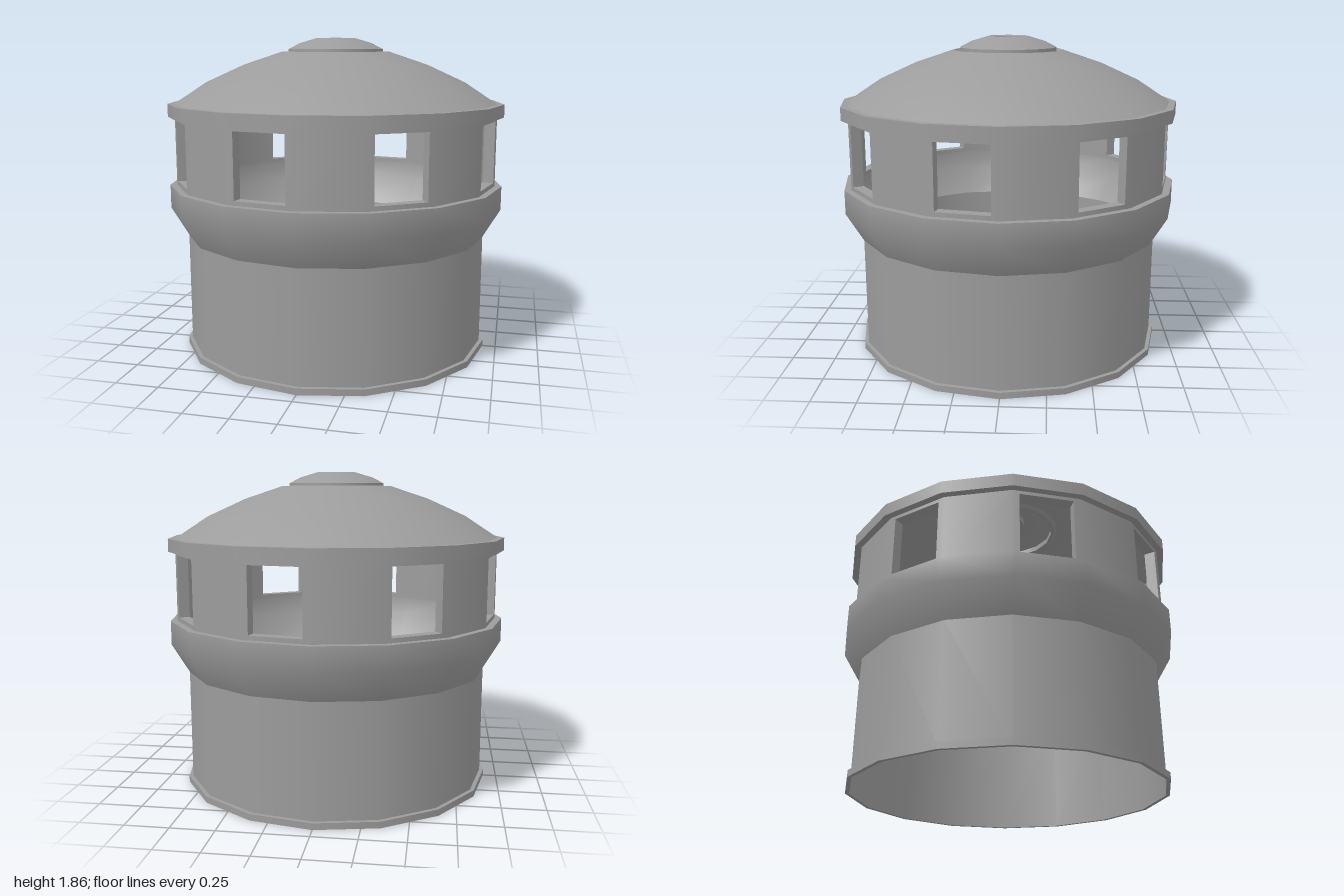
import * as THREE from 'three';

const SIDES = 16;
const STEP = (Math.PI * 2) / SIDES;

export function createModel() {
  const group = new THREE.Group();
  const material = new THREE.MeshStandardMaterial({ color: 0x9c9c9c, side: THREE.DoubleSide });

  // Each run of [radius, height] points is smooth; edges between runs stay sharp.
  function turned(name, ...runs) {
    const part = new THREE.Group();
    part.name = name;
    for (const run of runs) {
      const points = run.map(([r, y]) => new THREE.Vector2(r, y));
      part.add(new THREE.Mesh(new THREE.LatheGeometry(points, SIDES), material));
    }
    group.add(part);
  }

  // Open tube with a thin foot ring
  turned('footRing',
    [[0.9, 0], [0.923, 0]],
    [[0.923, 0], [0.923, 0.037]],
    [[0.923, 0.037], [0.9, 0.037]]);
  turned('lowerTube', [[0.9, 0], [0.9, 0.685]]);

  // Flared collar with a ledge under the windows
  turned('flaredCollar',
    [[0.9, 0.685], [1, 0.855], [1, 0.995]],
    [[1, 0.995], [0.896, 0.995]]);

  // Window drum: flat panels, every second one with an opening
  const radius = 0.96, depth = 0.063, y0 = 0.995, y1 = 1.4;
  const half = radius * Math.sin(STEP / 2);
  const apothem = radius * Math.cos(STEP / 2);

  function panel(open) {
    const shape = new THREE.Shape();
    shape.moveTo(-half, y0).lineTo(half, y0).lineTo(half, y1).lineTo(-half, y1).closePath();
    if (open) {
      const w = 0.15;
      const hole = new THREE.Path();
      hole.moveTo(-w, 1.02).lineTo(-w, 1.38).lineTo(w, 1.38).lineTo(w, 1.02).closePath();
      shape.holes.push(hole);
    }
    const geometry = new THREE.ExtrudeGeometry(shape, { depth, bevelEnabled: false });
    geometry.translate(0, 0, apothem - depth);
    const p = geometry.attributes.position, n = geometry.attributes.normal;
    for (let i = 0; i < p.count; i++) {
      // Mitre the panel ends and round the shading of the two wall faces
      if (Math.abs(p.getX(i)) > half - 0.001) p.setX(i, Math.sign(p.getX(i)) * p.getZ(i) * Math.tan(STEP / 2));
      if (Math.abs(n.getZ(i)) > 0.9) {
        const v = new THREE.Vector3(p.getX(i), 0, p.getZ(i)).normalize().multiplyScalar(Math.sign(n.getZ(i)));
        n.setXYZ(i, v.x, v.y, v.z);
      }
    }
    return geometry;
  }

  const panels = [panel(false), panel(true)];
  const drum = new THREE.Group();
  drum.name = 'windowDrum';
  for (let i = 0; i < SIDES; i++) {
    const wall = new THREE.Mesh(panels[i % 2], material);
    wall.name = i % 2 ? 'windowPanel' : 'solidPanel';
    wall.rotation.y = (i + 0.5) * STEP;
    drum.add(wall);
  }
  group.add(drum);

  // Roof band and dome, with a bevelled groove around the crown
  turned('roofBand',
    [[0.896, 1.4], [1, 1.4]],
    [[1, 1.4], [1, 1.475]],
    [[1, 1.475], [0.96, 1.475]]);
  turned('domeRoof',
    [[0.96, 1.475], [0.77, 1.6], [0.55, 1.7], [0.325, 1.775]],
    [[0.325, 1.775], [0.308, 1.758]],
    [[0.308, 1.758], [0.285, 1.758]]);

  // Crown cap with a shallow round recess
  turned('crownCap',
    [[0.285, 1.758], [0.285, 1.79]],
    [[0.285, 1.79], [0.217, 1.825], [0.115, 1.855]],
    [[0.115, 1.855], [0.105, 1.848]],
    [[0.105, 1.848], [0.105, 1.815]],
    [[0.105, 1.815], [0, 1.815]]);

  return group;
}
